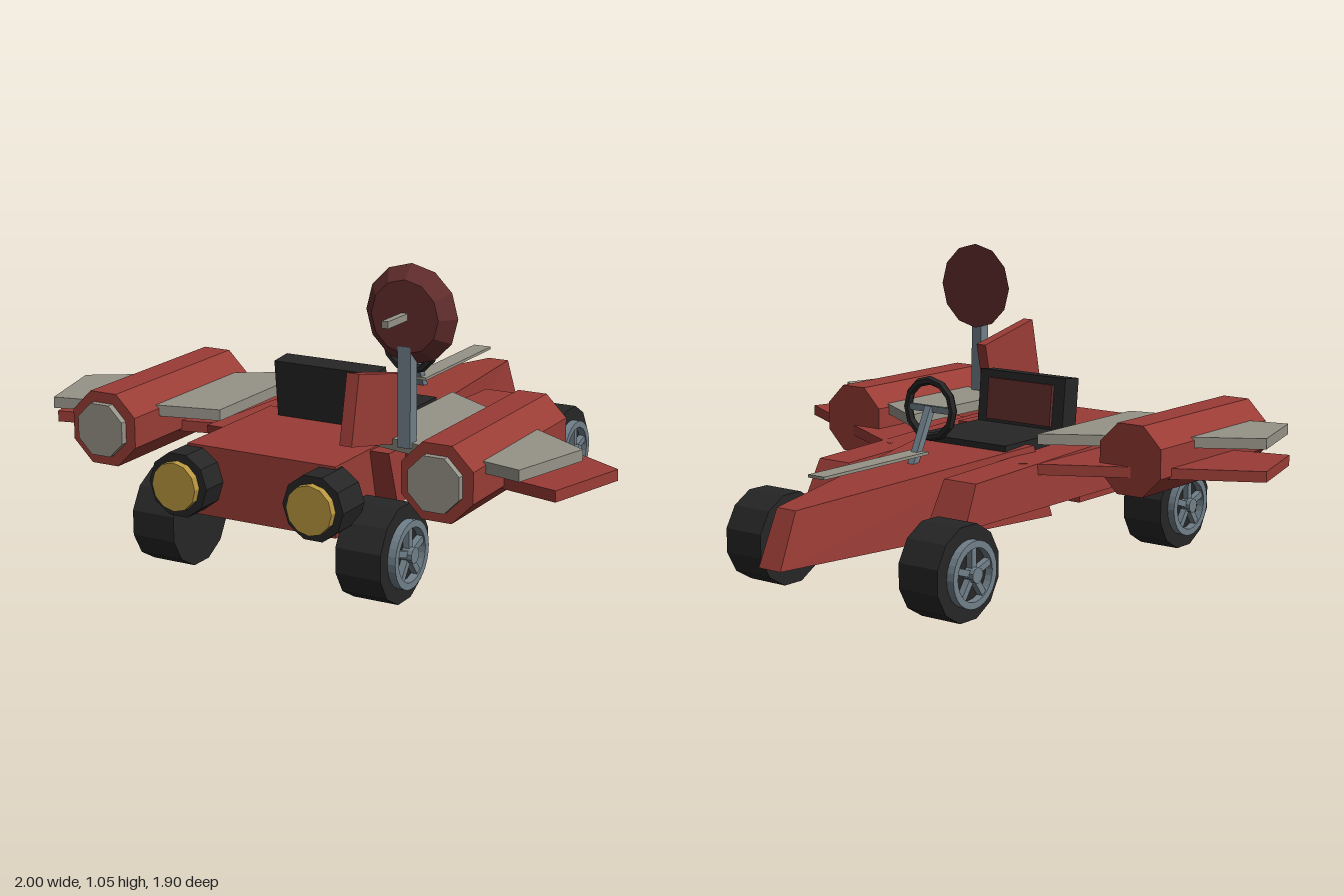
import * as THREE from 'three';

const mat = (name, color, side = THREE.FrontSide) => {
  const m = new THREE.MeshStandardMaterial({ color, side });
  m.name = name;
  m.flatShading = true;
  return m;
};

export function createModel() {
  const red = mat('body red', 0x9a3c36);
  const darkRed = mat('dark red', 0x642e2e);
  const grey = mat('panel grey', 0x969488);
  const black = mat('rubber black', 0x262626);
  const steel = mat('steel blue', 0x71808a);
  const gold = mat('exhaust gold', 0xb8963f);

  const model = new THREE.Group();
  const add = (name, geo, material, parent = model) => {
    const mesh = new THREE.Mesh(geo, material);
    mesh.name = name;
    parent.add(mesh);
    return mesh;
  };
  // Box given by its low and high corners
  const box = (x0, x1, y0, y1, z0, z1) =>
    new THREE.BoxGeometry(x1 - x0, y1 - y0, z1 - z0)
      .translate((x0 + x1) / 2, (y0 + y1) / 2, (z0 + z1) / 2);
  // Six-sided block: rule maps corner signs to a position
  const block = (rule) => {
    const g = new THREE.BoxGeometry(2, 2, 2);
    const p = g.attributes.position;
    for (let i = 0; i < p.count; i++) p.setXYZ(i, ...rule(p.getX(i), p.getY(i) > 0, p.getZ(i) > 0));
    g.computeVertexNormals();
    return g;
  };
  // Cylinder along z from z0 (radius r0) to z1 (radius r1)
  const drum = (x, y, z0, z1, r0, r1, sides, turn = 0) =>
    new THREE.CylinderGeometry(r1, r0, z1 - z0, sides).rotateY(turn).rotateX(Math.PI / 2)
      .translate(x, y, (z0 + z1) / 2);
  const outline = (pts) => new THREE.Shape(pts.map(([a, b]) => new THREE.Vector2(a, b)));
  // Flat plate from an x/z outline
  const plate = (pts, y0, y1) =>
    new THREE.ExtrudeGeometry(outline(pts), { depth: y1 - y0, bevelEnabled: false })
      .rotateX(Math.PI / 2).translate(0, y1, 0);

  // Tapered nose and rear body
  add('nose', block((sx, top, back) => back
    ? [sx * (top ? 0.222 : 0.25), top ? 0.44 : 0.185, top ? 0.13 : 0.2]
    : [sx * (top ? 0.04 : 0.046), top ? 0.365 : 0.185, top ? -0.87 : -0.95]), red);
  add('rearBody', box(-0.27, 0.27, 0.21, 0.44, 0.335, 0.835), red);
  add('noseStrip', box(-0.034, 0.034, 0.438, 0.448, -0.73, -0.21), grey);

  // Seat with a leaning back
  add('seatCushion', box(-0.19, 0.19, 0.41, 0.452, 0.01, 0.38), black);
  const seatBack = new THREE.Group();
  seatBack.name = 'seatBack';
  seatBack.position.set(0, 0.42, 0.375);
  seatBack.rotation.x = 0.1;
  add('backrest', box(-0.187, 0.187, 0, 0.215, -0.035, 0.045), black, seatBack);
  add('backrestPanel', box(-0.14, 0.14, 0.04, 0.188, -0.048, -0.03), darkRed, seatBack);
  model.add(seatBack);

  // Steering wheel on its sloping column
  add('steeringRing', new THREE.TorusGeometry(0.097, 0.015, 6, 12).translate(0, 0.583, -0.157), black);
  add('steeringCrossbar', box(-0.09, 0.09, 0.572, 0.594, -0.164, -0.15), steel);
  const lean = Math.atan2(0.1, 0.2);
  add('steeringColumn', new THREE.BoxGeometry(0.026, 0.225, 0.026)
    .rotateX(lean).translate(0, 0.488, -0.21), steel);

  // Parts on both sides
  for (const s of [1, -1]) {
    const side = s > 0 ? 'left' : 'right';
    const mirror = (pts) => pts.map(([x, z]) => [s * x, z]);

    add(side + 'SidePod', block((sx, top, back) => [
      s * 0.272 + sx * (top ? 0.066 : 0.076),
      top ? (back ? 0.435 : 0.4) : 0.26,
      back ? (top ? 0.62 : 0.58) : (top ? -0.34 : -0.41),
    ]), red);
    add(side + 'LowerWing', plate(mirror([[0.28, -0.04], [1, 0.36], [0.92, 0.65], [0.28, 0.5]]), 0.375, 0.412), red);
    add(side + 'UpperWing', plate(mirror([[0.28, 0.07], [0.93, 0.475], [0.85, 0.76], [0.28, 0.63]]), 0.459, 0.496), grey);

    // Octagonal engine with a capped end
    add(side + 'Engine', drum(s * 0.607, 0.435, 0.143, 0.815, 0.131, 0.131, 8, Math.PI / 8), red);
    add(side + 'EngineCap', drum(s * 0.607, 0.435, 0.81, 0.838, 0.093, 0.093, 8, Math.PI / 8), grey);

    // Exhaust
    add(side + 'Exhaust', drum(s * 0.245, 0.33, 0.8, 0.93, 0.107, 0.107, 10, Math.PI / 10), black);
    add(side + 'ExhaustFlame', drum(s * 0.245, 0.33, 0.925, 0.955, 0.08, 0.08, 12), gold);

    // Wheels, with the rim on the outer face
    for (const z of [0.73, -0.525]) {
      const wheel = new THREE.Group();
      wheel.name = side + (z > 0 ? 'EngineEndWheel' : 'NoseEndWheel');
      wheel.position.set(s * 0.375, 0.16, z);
      wheel.rotation.y = s * Math.PI / 2;
      add('tyre', drum(0, 0, -0.078, 0.078, 0.16, 0.16, 12, Math.PI / 12), black, wheel);
      const ring = new THREE.Shape().absarc(0, 0, 0.11, 0, Math.PI * 2);
      ring.holes.push(new THREE.Path().absarc(0, 0, 0.087, 0, Math.PI * 2, true));
      add('rim', new THREE.ExtrudeGeometry(ring, { depth: 0.03, bevelEnabled: false, curveSegments: 14 })
        .translate(0, 0, 0.075), steel, wheel);
      for (let i = 0; i < 5; i++) {
        add('spoke', box(-0.011, 0.011, 0.01, 0.095, 0.075, 0.1)
          .rotateZ(i * Math.PI * 2 / 5), steel, wheel);
      }
      add('hub', drum(0, 0, 0.075, 0.115, 0.026, 0.026, 10), steel, wheel);
      model.add(wheel);
    }
  }

  // Dish on a mast
  add('dishMast', box(0.4, 0.444, 0.48, 0.8, 0.635, 0.678), steel);
  add('dish', drum(0.423, 0.893, 0.63, 0.677, 0.158, 0.115, 12), darkRed);
  add('dishAntenna', box(0.412, 0.434, 0.883, 0.905, 0.67, 0.8), grey);

  // Single upright fin, outlined in z/y
  const fin = outline([[-0.86, 0.75], [-0.907, 0.535], [-0.615, 0.47], [-0.567, 0.685]]);
  add('fin', new THREE.ExtrudeGeometry(fin, { depth: 0.042, bevelEnabled: false })
    .rotateY(Math.PI / 2).translate(0.326, 0, 0), red);

  return model;
}
